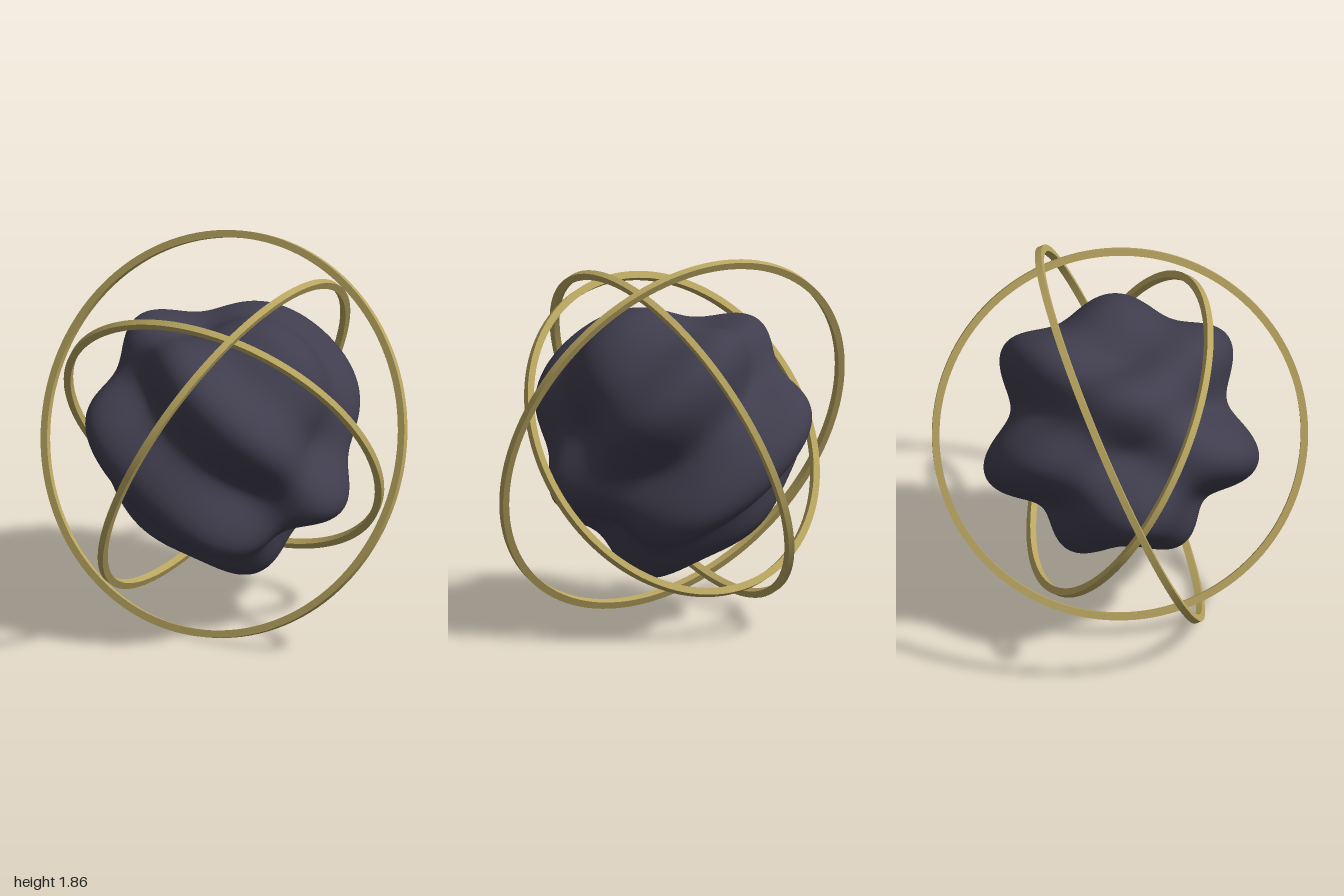
import * as THREE from 'three';
import { mergeVertices, toCreasedNormals } from 'three/addons/utils/BufferGeometryUtils.js';

const stone = new THREE.MeshStandardMaterial({ color: 0x403e4e });
stone.name = 'dark slate';
const brass = new THREE.MeshStandardMaterial({ color: 0xb8a560 });
brass.name = 'brass';

const CENTRE_Y = 0.925;

// Flat hoop with a square section, facing along the given normal
function makeRing(name, outer, normal) {
  const w = 0.036, h = 0.017, inner = outer - w;
  const section = [[inner, -h], [outer, -h], [outer, h], [inner, h], [inner, -h]]
    .map(([x, y]) => new THREE.Vector2(x, y));
  const geometry = toCreasedNormals(new THREE.LatheGeometry(section, 128), 0.6);
  const ring = new THREE.Mesh(geometry, brass);
  ring.name = name;
  ring.position.y = CENTRE_Y;
  ring.quaternion.setFromUnitVectors(
    new THREE.Vector3(0, 1, 0), new THREE.Vector3(...normal).normalize());
  return ring;
}

// Lumpy core: a sphere swollen by crossed waves, then tilted
function makeCore() {
  let geometry = new THREE.IcosahedronGeometry(1, 40);
  geometry.deleteAttribute('normal');
  geometry.deleteAttribute('uv');
  geometry = mergeVertices(geometry, 1e-5);
  const pos = geometry.attributes.position;
  const v = new THREE.Vector3();
  for (let i = 0; i < pos.count; i++) {
    v.fromBufferAttribute(pos, i).normalize();
    v.multiplyScalar(0.62 + 0.097 * Math.sin(7.1 * v.y) * Math.cos(4 * v.z));
    pos.setXYZ(i, v.x, v.y, v.z);
  }
  geometry.computeVertexNormals();
  const core = new THREE.Mesh(geometry, stone);
  core.name = 'core';
  core.position.y = CENTRE_Y;
  core.rotation.z = -0.595;
  return core;
}

export function createModel() {
  const model = new THREE.Group();
  model.name = 'ringedCore';
  model.add(
    makeCore(),
    makeRing('outerRing', 1.0, [0.035, 0.385, 0.922]),
    makeRing('innerRing', 0.848, [0.064, -0.505, 0.86]),
    makeRing('crossRing', 0.922, [0.908, -0.418, 0.037]),
  );
  return model;
}
